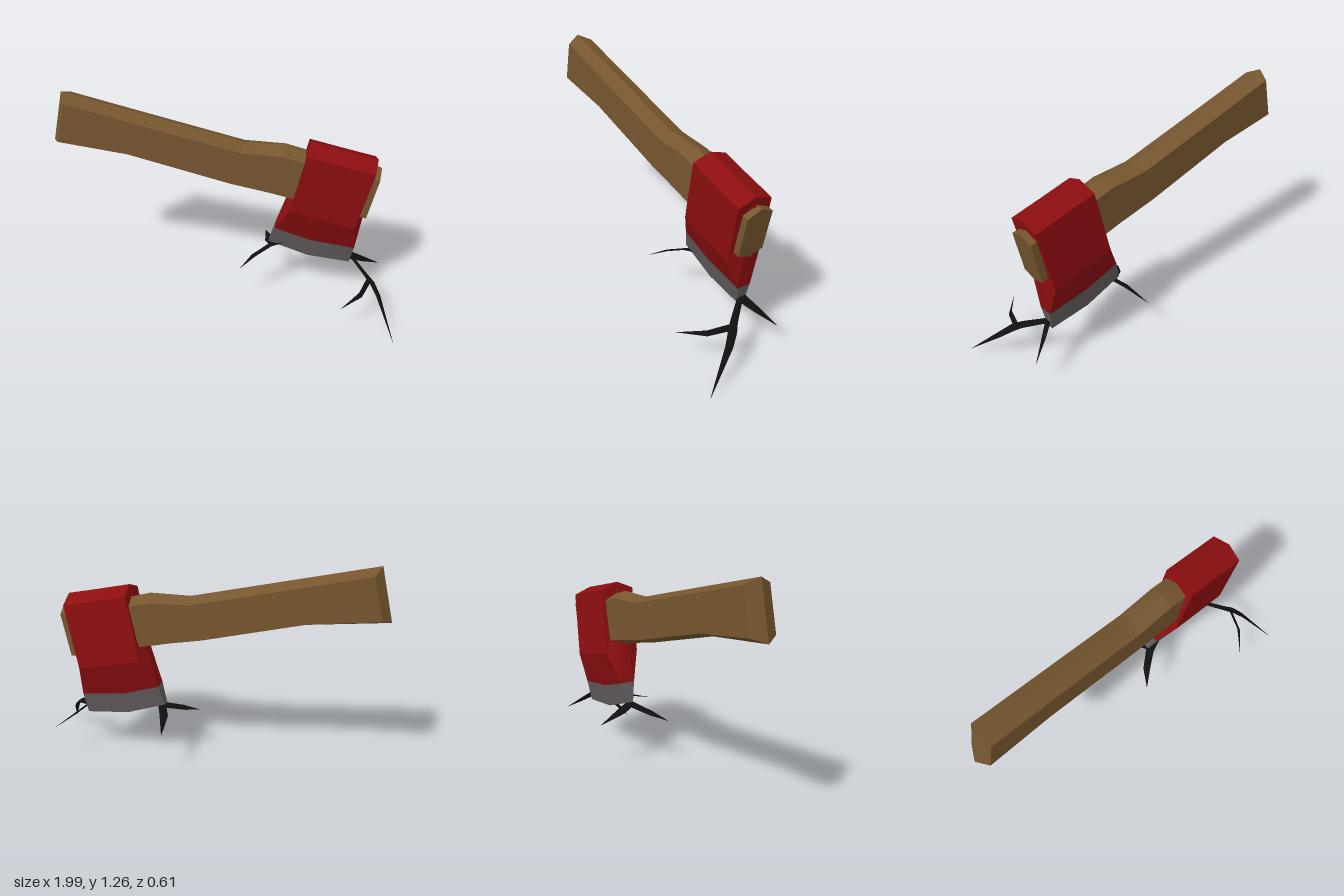
import * as THREE from 'three';

const V = (x, y, z) => new THREE.Vector3(x, y, z);

function material(name, color) {
  const m = new THREE.MeshStandardMaterial({ color, flatShading: true });
  m.name = name;
  return m;
}

// Closed faceted skin through rings of points, each counter-clockwise about the path.
function loft(name, rings, mat) {
  const pos = [];
  const tri = (...pts) => pts.forEach((p) => pos.push(p.x, p.y, p.z));
  const n = rings[0].length;
  for (let i = 0; i < rings.length - 1; i++) {
    for (let j = 0; j < n; j++) {
      const k = (j + 1) % n;
      const a = rings[i][j], b = rings[i][k], c = rings[i + 1][k], d = rings[i + 1][j];
      tri(a, b, c);
      tri(a, c, d);
    }
  }
  const first = rings[0], last = rings[rings.length - 1];
  for (let j = 1; j < n - 1; j++) {
    tri(first[0], first[j + 1], first[j]);
    tri(last[0], last[j], last[j + 1]);
  }
  const geo = new THREE.BufferGeometry();
  geo.setAttribute('position', new THREE.Float32BufferAttribute(pos, 3));
  geo.computeVertexNormals();
  const mesh = new THREE.Mesh(geo, mat);
  mesh.name = name;
  return mesh;
}

// Flat, tapering crack: path entries are [x, y, z, half width].
function crack(name, path, normal, mat) {
  const pts = path.map(([x, y, z]) => V(x, y, z));
  const rings = pts.map((p, i) => {
    const dir = pts[Math.min(i + 1, pts.length - 1)].clone().sub(pts[Math.max(i - 1, 0)]).normalize();
    const w = dir.clone().cross(normal).normalize();
    const t = w.clone().cross(dir).multiplyScalar(-Math.min(0.005, path[i][3]));
    if (t.dot(normal) < 0) t.negate();
    w.multiplyScalar(path[i][3]);
    return [p.clone().add(t), p.clone().add(w), p.clone().sub(t), p.clone().sub(w)];
  });
  return loft(name, rings, mat);
}

export function createModel() {
  const wood = material('wood', 0x75562f);
  const red = material('red paint', 0x8c0e10);
  const steel = material('steel', 0x615c5c);
  const black = material('black', 0x101011);
  black.side = THREE.DoubleSide;

  const axe = new THREE.Group();
  axe.name = 'axe';

  // Hexagonal handle: [top x, top y, bottom x, bottom y, shift of the side edges]
  const handle = [
    [-0.93, 1.27, -1.0, 0.97, 0.04],
    [-0.5, 1.168, -0.57, 0.925, 0],
    [0.08, 1.03, 0.0, 0.78, 0],
    [0.31, 1.03, 0.24, 0.73, 0],
    [0.44, 0.995, 0.37, 0.7, 0],
    [0.835, 0.922, 0.77, 0.607, 0],
  ].map(([xt, yt, xb, yb, shift]) => {
    const at = (t, side) => {
      const x = xt + (xb - xt) * t;
      return V(x + (side ? shift : 0), yt + (yb - yt) * t, -0.04 - 0.02 * (x + 0.95) + side * 0.077);
    };
    return [at(0, 0), at(0.12, 1), at(0.91, 1), at(1, 0), at(0.91, -1), at(0.12, -1)];
  });
  axe.add(loft('handle', handle, wood));

  // Head columns from poll side to toe: ridge, shoulder, cheek, paint line, edge
  const columns = [
    [[0.44, 1.065], [0.43, 1.025], [0.35, 0.655], [0.265, 0.485], [0.23, 0.37]],
    [[0.625, 1.023], [0.615, 0.983], [0.53, 0.613], [0.475, 0.42], [0.46, 0.29]],
    [[0.81, 0.983], [0.80, 0.943], [0.72, 0.575], [0.73, 0.387], [0.71, 0.265]],
  ];
  const centre = [-0.055, -0.059, -0.077, -0.085, -0.089];
  const half = [0, 0.102, 0.103, 0.041, 0.018];
  const headPoint = (col, row, side) =>
    V(col[row][0], col[row][1], centre[row] - 0.012 * (col[row][0] - 0.6) + side * half[row]);
  const headRings = (rows) => columns.map((col) => [
    ...rows.map((r) => headPoint(col, r, 1)),
    ...rows.filter((r) => r > 0).reverse().map((r) => headPoint(col, r, -1)),
  ]);
  axe.add(loft('axeHead', headRings([0, 1, 2, 3]), red));
  axe.add(loft('cuttingEdge', headRings([3, 4]), steel));

  // Cracks spreading from both corners of the edge
  const toe = V(0.72, 0.65, 0.24).normalize();
  const heel = V(0.41, -0.9, 0.09).normalize();
  const cracks = [
    ['toeCrack', [[0.70, 0.315, -0.1, 0.015], [0.81, 0.26, 0.03, 0.021], [0.85, 0.235, 0.07, 0.025],
      [0.89, 0.185, 0.12, 0.021], [0.99, 0.008, 0.305, 0.0005]], toe],
    ['toeBranch', [[0.835, 0.25, 0.05, 0.018], [0.785, 0.232, 0.185, 0.015], [0.68, 0.22, 0.305, 0.0005]], toe],
    ['toeSpike', [[0.71, 0.31, -0.08, 0.027], [0.79, 0.25, -0.135, 0.018], [0.89, 0.18, -0.2, 0.0005]], toe],
    ['heelCrack', [[0.345, 0.375, -0.08, 0.01], [0.24, 0.345, -0.06, 0.026], [0.15, 0.308, 0.01, 0.022],
      [0.08, 0.265, 0.09, 0.0005]], heel],
    ['heelBranch', [[0.26, 0.35, -0.07, 0.025], [0.225, 0.325, -0.15, 0.026], [0.19, 0.275, -0.305, 0.0005]], heel],
  ];
  cracks.forEach(([name, path, normal]) => axe.add(crack(name, path, normal, black)));

  return axe;
}
